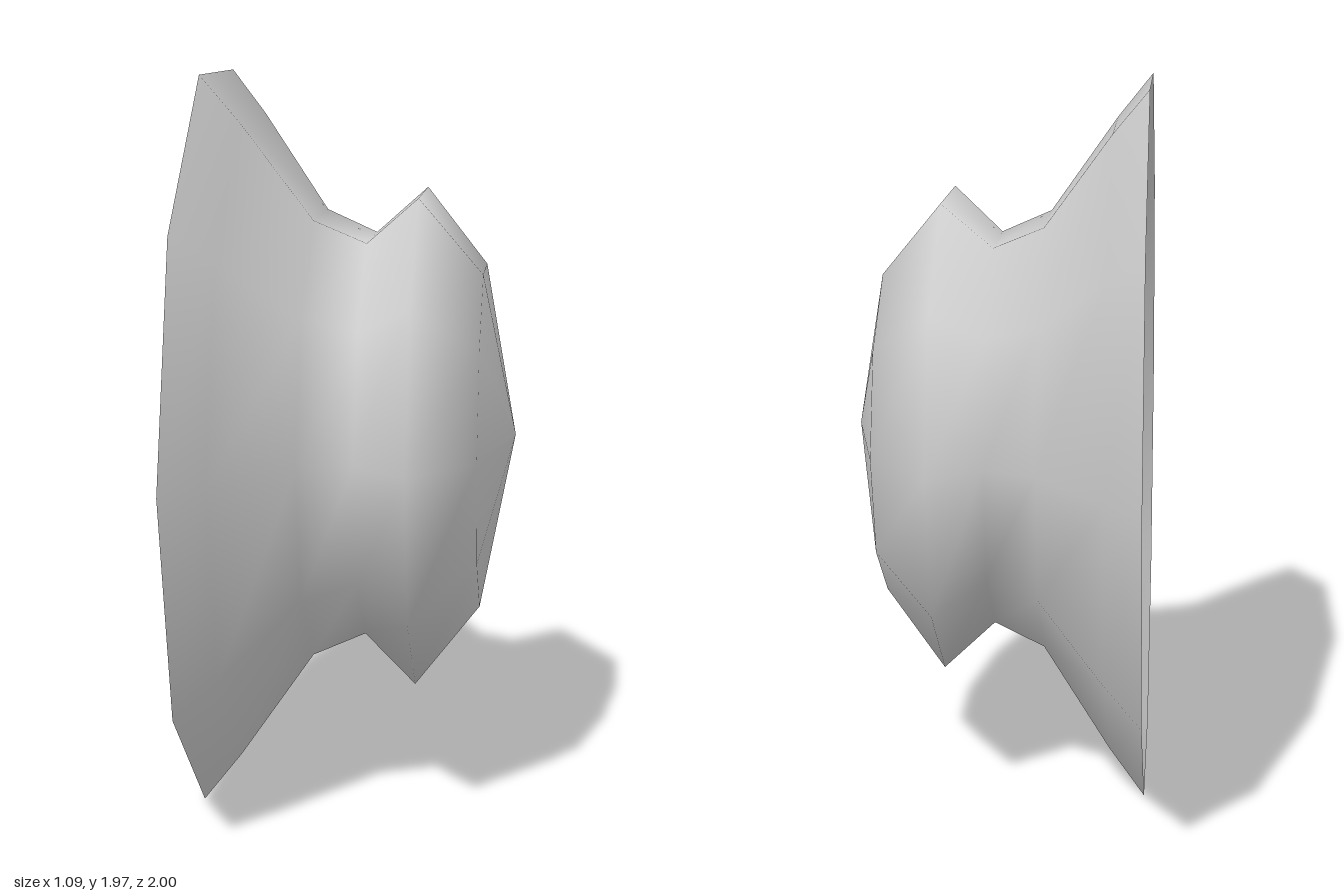
import * as THREE from 'three';

export function createModel() {
  const group = new THREE.Group();
  group.name = 'flaredKnob';

  const grey = new THREE.MeshStandardMaterial({ color: 0xcccccc, side: THREE.DoubleSide });
  grey.name = 'plain grey';

  // Profile as [radius, distance along axis], from open rim to domed tip
  const profile = [
    [1.035, 0],     // open rim
    [0.906, 0.1],   // flare
    [0.628, 0.289], // base of flare
    [0.564, 0.431], // neck
    [0.696, 0.572], // widest part of cap
    [0.478, 0.743], // shoulder of cap
    [0, 0.832],     // tip
  ].map(([r, h]) => new THREE.Vector2(r, h));

  // Ten-sided shell, turned so the axis points right and a little forward,
  // with the cap leaning slightly off the rim's normal
  const shell = new THREE.LatheGeometry(profile, 10);
  const across = new THREE.Vector3(-0.256, 0, 0.966);
  const axis = new THREE.Vector3(0.966, 0, 0.256).addScaledVector(across, 0.056);
  const down = new THREE.Vector3(0, -1, 0);
  shell.applyMatrix4(new THREE.Matrix4().makeBasis(down, axis, across));
  shell.translate(-0.285, 0.985, 0);

  const mesh = new THREE.Mesh(shell, grey);
  mesh.name = 'flaredShell';
  group.add(mesh);
  return group;
}
